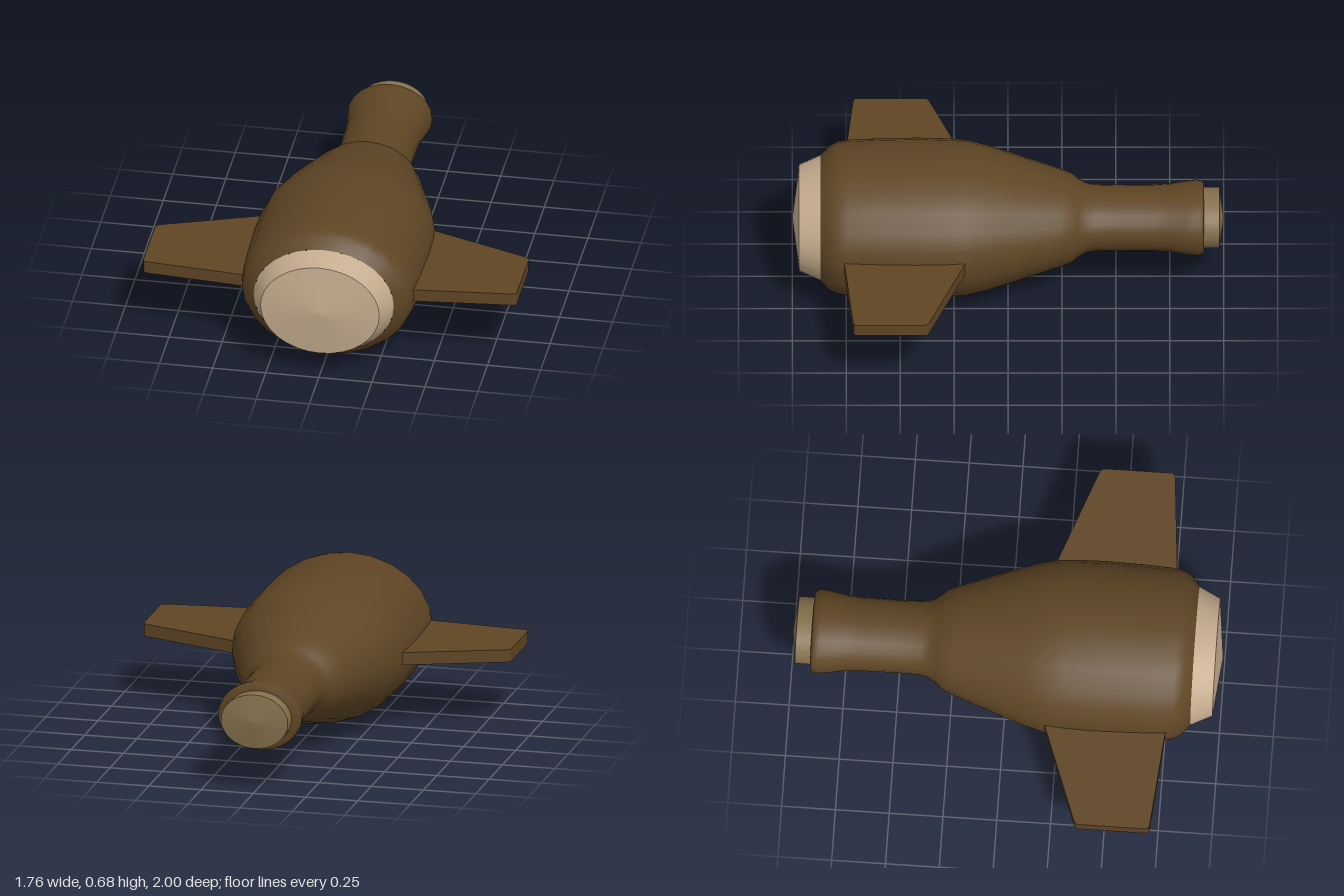
import * as THREE from 'three';

const CENTRE_Y = 0.345;
const SQUASH = 0.81;

// Turn a [radius, z] profile about the z axis and flatten it to an oval
function ovalLathe(profile, segments) {
  const geo = new THREE.LatheGeometry(profile.map(([r, z]) => new THREE.Vector2(r, z)), segments);
  geo.rotateX(Math.PI / 2);
  geo.scale(1, SQUASH, 1);
  geo.translate(0, CENTRE_Y, 0);
  return geo;
}

export function createModel() {
  const group = new THREE.Group();
  const material = (name, color) => {
    const m = new THREE.MeshStandardMaterial({ color });
    m.name = name;
    return m;
  };
  const brown = material('brown', 0x5e4524);
  const cream = material('cream', 0xc4ab8e);
  const tan = material('tan', 0x84704c);

  const add = (name, geo, mat, parent = group) => {
    const mesh = new THREE.Mesh(geo, mat);
    mesh.name = name;
    parent.add(mesh);
    return mesh;
  };

  // Bottle-shaped body with a narrow neck and flared lip at the back
  add('body', ovalLathe([
    [0.14, -0.91], [0.185, -0.908], [0.197, -0.895], [0.2, -0.87], [0.193, -0.82], [0.18, -0.75],
    [0.175, -0.68], [0.173, -0.5], [0.176, -0.4], [0.185, -0.36], [0.208, -0.325],
    [0.236, -0.295], [0.26, -0.24], [0.3, -0.13], [0.348, 0], [0.383, 0.1],
    [0.408, 0.19], [0.416, 0.28], [0.42, 0.42], [0.416, 0.6], [0.409, 0.74],
    [0.4, 0.79], [0.378, 0.83], [0.33, 0.87],
  ], 24), brown);

  // Front cap: bevelled rim and shallow cone face
  add('frontCapRim', ovalLathe([[0.33, 0.87], [0.28, 0.97]], 32), cream);
  add('frontCapFace', ovalLathe([[0.28, 0.97], [0, 1]], 32), cream);

  // Stopper in the neck
  add('stopperSide', ovalLathe([[0.16, -0.98], [0.16, -0.9]], 32), tan);
  add('stopperFace', ovalLathe([[0, -1], [0.16, -0.98]], 32), tan);

  // Flat tapered fins with slightly rounded tips
  const fin = new THREE.Shape();
  fin.moveTo(0.3, 0.16);
  fin.lineTo(0.86, 0.365);
  fin.quadraticCurveTo(0.88, 0.372, 0.88, 0.392);
  fin.lineTo(0.88, 0.698);
  fin.quadraticCurveTo(0.88, 0.716, 0.86, 0.718);
  fin.lineTo(0.3, 0.768);
  fin.closePath();
  const finGeo = new THREE.ExtrudeGeometry(fin, { depth: 0.06, bevelEnabled: false, curveSegments: 3 });
  finGeo.rotateX(Math.PI / 2);
  finGeo.translate(0, CENTRE_Y + 0.033, 0);
  add('leftFin', finGeo, brown);

  // Half turn about z gives the mirrored fin
  const rightGeo = finGeo.clone().translate(0, -CENTRE_Y - 0.003, 0).rotateZ(Math.PI).translate(0, CENTRE_Y + 0.003, 0);
  add('rightFin', rightGeo, brown);

  return group;
}
